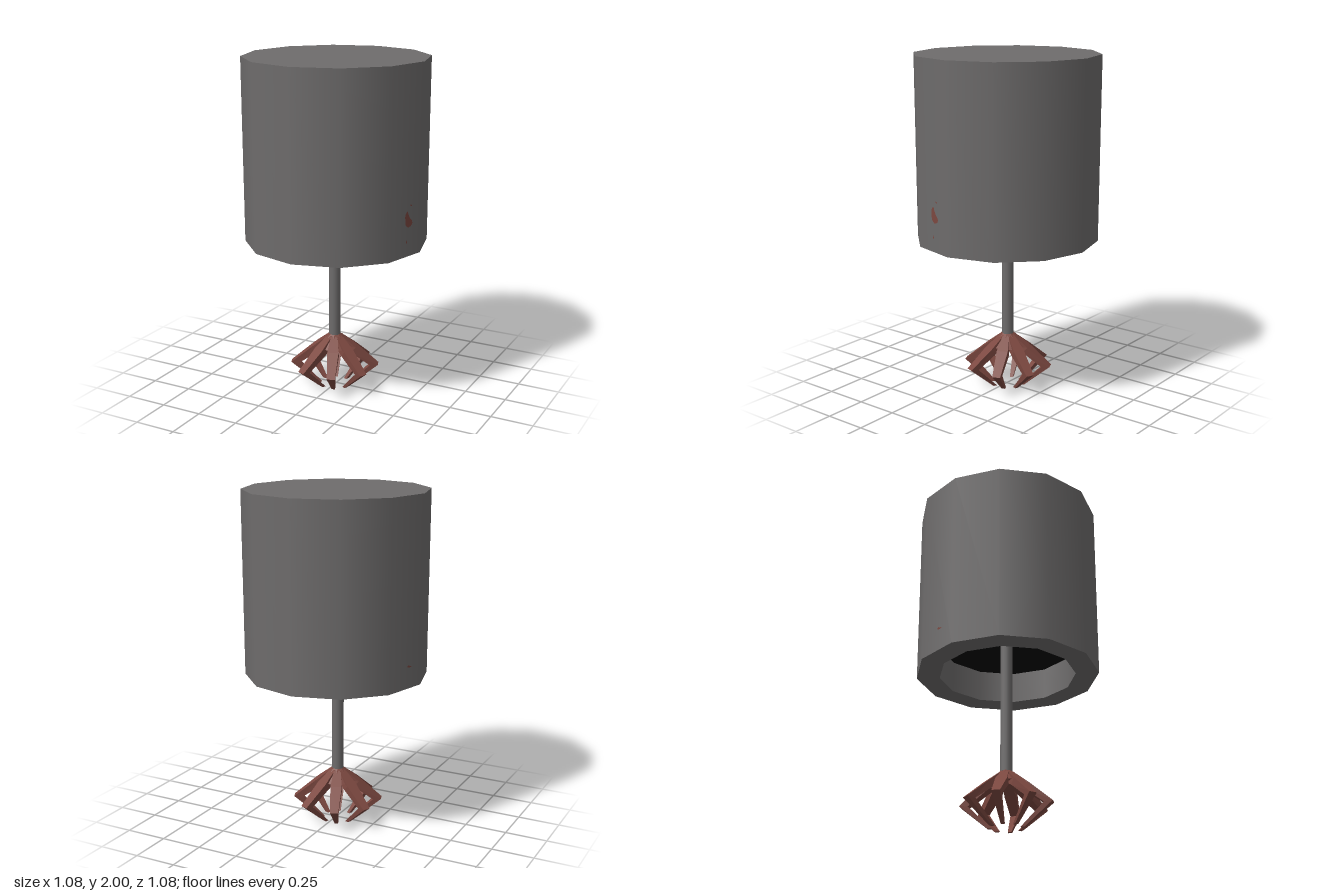
import * as THREE from 'three';

const grey = new THREE.MeshStandardMaterial({ color: 0x6e6c6c, name: 'metalGrey' });
const black = new THREE.MeshStandardMaterial({ color: 0x060606, name: 'black' });
const red = new THREE.MeshStandardMaterial({ color: 0x7c4840, name: 'rustRed' });

function mesh(name, geometry, material, parent) {
  const m = new THREE.Mesh(geometry, material);
  m.name = name;
  parent.add(m);
  return m;
}

// One straight band of a turned 12-sided profile, from (r0, y0) to (r1, y1)
function band(r0, y0, r1, y1) {
  return new THREE.LatheGeometry([new THREE.Vector2(r0, y0), new THREE.Vector2(r1, y1)], 12);
}

// Bent finger lofted through rectangular sections, radial direction along +z
function fingerGeometry() {
  // outer r, outer y, inner r, inner y, half width
  const sections = [
    [0.04, 0.318, 0.03, 0.25, 0.02],
    [0.13, 0.248, 0.10, 0.215, 0.034],
    [0.265, 0.135, 0.215, 0.13, 0.024],
    [0.105, 0.0, 0.082, 0.0, 0.01],
  ];
  const rings = sections.map(([ro, yo, ri, yi, w]) => [
    [-w, yo, ro], [w, yo, ro], [w, yi, ri], [-w, yi, ri],
  ]);
  const pos = [];
  const quad = (a, b, c, d) => [a, b, c, a, c, d].forEach((p) => pos.push(...p));
  for (let i = 0; i < rings.length - 1; i++) {
    for (let j = 0; j < 4; j++) {
      const k = (j + 1) % 4;
      quad(rings[i][j], rings[i + 1][j], rings[i + 1][k], rings[i][k]);
    }
  }
  quad(...rings[0]);
  quad(...rings[rings.length - 1].slice().reverse());
  const g = new THREE.BufferGeometry();
  g.setAttribute('position', new THREE.Float32BufferAttribute(pos, 3));
  g.computeVertexNormals();
  return g;
}

export function createModel() {
  const model = new THREE.Group();
  model.name = 'clawMachineArm';

  // Drum housing with a recessed underside
  const housing = new THREE.Group();
  housing.name = 'housing';
  model.add(housing);
  mesh('housingWall', band(0.536, 0.92, 0.54, 2), grey, housing);
  mesh('housingTop', band(0.54, 2, 0, 2), grey, housing);
  mesh('housingRim', band(0.4, 0.92, 0.536, 0.92), grey, housing);
  mesh('recessWall', band(0.4, 1.11, 0.4, 0.92), grey, housing);
  mesh('recessCeiling', band(0, 1.11, 0.4, 1.11), black, housing);

  // Rust stains lying on two opposite wall facets
  const drop = new THREE.Shape();
  drop.moveTo(-0.005, -0.045);
  drop.quadraticCurveTo(0.04, -0.04, 0.03, -0.01);
  drop.quadraticCurveTo(0.0, 0.01, -0.01, 0.05);
  drop.quadraticCurveTo(-0.04, 0.04, -0.03, 0.0);
  drop.quadraticCurveTo(-0.035, -0.03, -0.005, -0.045);
  const stains = [ // facet angle, sideways offset, height, width scale, height scale
    [75, 0.026, 1.135, 1, 1],
    [75, 0.045, 1.215, 0.25, 0.12],
    [75, 0.01, 1.01, 0.2, 0.2],
    [255, 0.03, 1.05, 0.6, 0.15],
  ];
  for (const [angle, x, y, sx, sy] of stains) {
    const facet = new THREE.Group();
    facet.rotation.y = THREE.MathUtils.degToRad(angle);
    housing.add(facet);
    const stain = mesh('stain', new THREE.ShapeGeometry(drop, 4), red, facet);
    stain.position.set(x, y, 0.5235);
    stain.scale.set(sx, sy, 1);
  }

  // Rod running from the recess to the claw
  const rod = mesh('rod', new THREE.CylinderGeometry(0.035, 0.035, 0.8, 12), grey, model);
  rod.position.set(-0.01, 0.715, 0);

  // Claw: conical hub and eight bent fingers
  const claw = new THREE.Group();
  claw.name = 'claw';
  claw.position.x = -0.01;
  model.add(claw);
  const hubGeometry = new THREE.CylinderGeometry(0.036, 0.115, 0.075, 8).toNonIndexed();
  hubGeometry.computeVertexNormals();
  const hub = mesh('clawHub', hubGeometry, red, claw);
  hub.position.y = 0.2875;
  hub.rotation.y = Math.PI / 8;
  const finger = fingerGeometry();
  for (let i = 0; i < 8; i++) {
    mesh('clawFinger', finger, red, claw).rotation.y = (i + 0.5) * Math.PI / 4;
  }
  return model;
}
